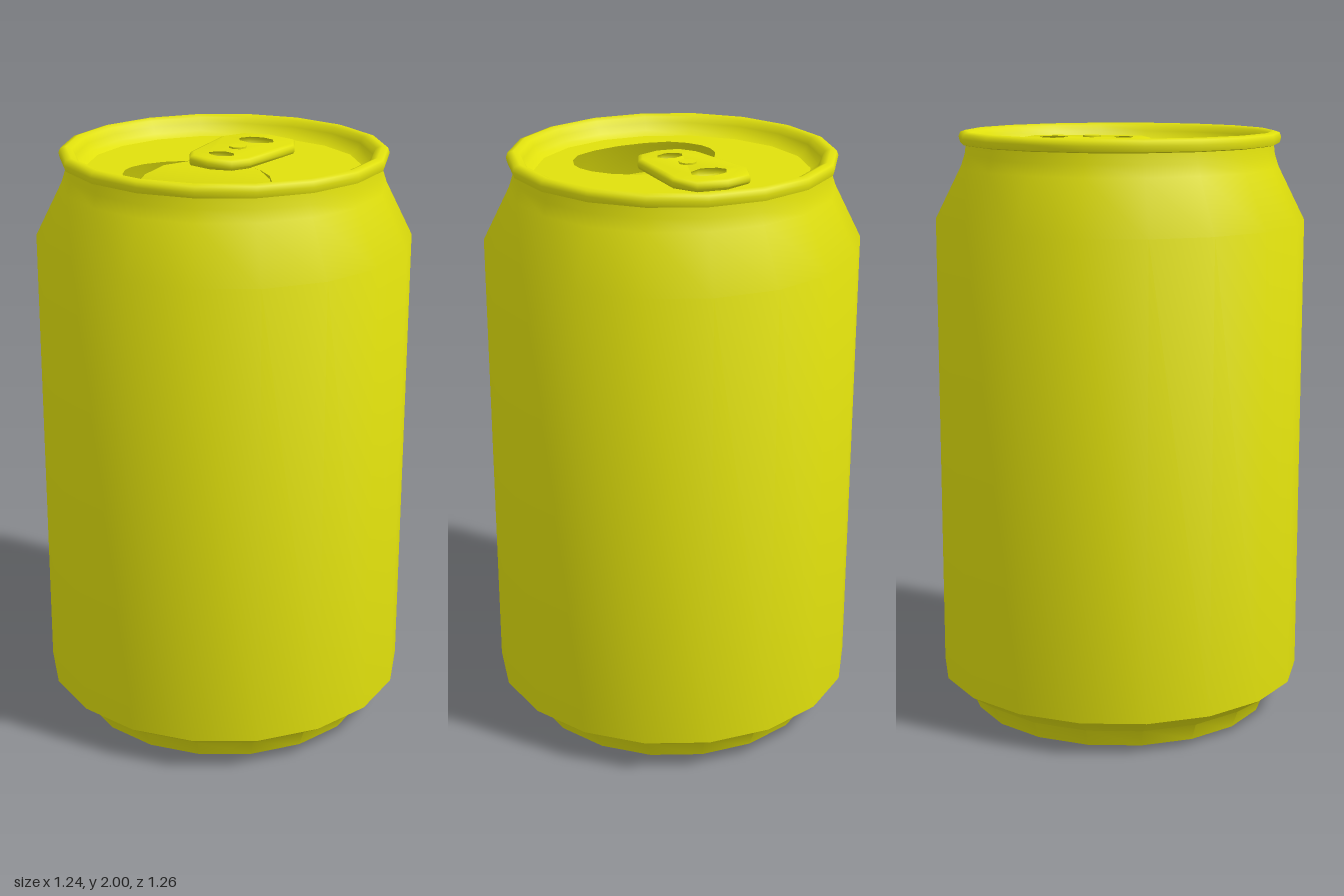
import * as THREE from 'three';
import { toCreasedNormals } from 'three/addons/utils/BufferGeometryUtils.js';

const SIDES = 18;
const LID_Y = 1.935;
const LID_R = 0.455;

// half outline of the mouth: [half width, z], back to front
const MOUTH = [
  [0.07, -0.02], [0.13, -0.005], [0.2, 0.055], [0.24, 0.115], [0.254, 0.17], [0.25, 0.215],
  [0.225, 0.27], [0.18, 0.318], [0.1, 0.345], [0.01, 0.355],
];

export function createModel() {
  const model = new THREE.Group();
  const yellow = new THREE.MeshStandardMaterial({ color: 0xe0e00c, side: THREE.DoubleSide });

  const add = (name, geometry) => {
    const mesh = new THREE.Mesh(geometry, yellow);
    mesh.name = name;
    model.add(mesh);
    return mesh;
  };
  const lathe = (points, crease = 0.6) => toCreasedNormals(
    new THREE.LatheGeometry(points.map(([r, y]) => new THREE.Vector2(r, y)), SIDES), crease);
  // plan coordinates (x, z) mirrored into a closed outline
  const mirrored = (half) => [
    ...half.map(([x, z]) => new THREE.Vector2(x, -z)),
    ...half.filter(([x]) => x > 0).reverse().map(([x, z]) => new THREE.Vector2(-x, -z)),
  ];

  // hollow underside
  add('baseDome', lathe([[0, 0.16], [0.14, 0.15], [0.27, 0.12], [0.38, 0.07], [0.475, 0]]));

  // foot, straight wall, shoulder and neck
  add('body', lathe([
    [0.475, 0], [0.515, 0], [0.54, 0.06], [0.628, 0.12], [0.628, 1.7],
    [0.538, 1.88], [0.525, 1.92], [0.52, 1.96],
  ]));

  // rolled rim and the inner slope down to the lid
  add('rim', lathe([
    [0.52, 1.955], [0.54, 1.959], [0.545, 1.978], [0.539, 1.994], [0.52, 2],
    [0.5, 1.992], [0.49, 1.972], [0.478, 1.95], [LID_R, LID_Y],
  ], 1.0));

  // lid with the open mouth
  const circle = Array.from({ length: SIDES }, (_, i) => {
    const a = (i / SIDES) * Math.PI * 2;
    return new THREE.Vector2(Math.sin(a) * LID_R, Math.cos(a) * LID_R);
  });
  const lidShape = new THREE.Shape(circle);
  lidShape.holes.push(new THREE.Path(mirrored(MOUTH)));
  add('lid', new THREE.ShapeGeometry(lidShape).rotateX(-Math.PI / 2)).position.y = LID_Y;

  // mouth flap, curled down into the can from its back edge
  const flap = new THREE.PlaneGeometry(2, 1, 2, MOUTH.length - 1);
  const pos = flap.attributes.position;
  const bend = 0.25;
  for (let i = 0; i < pos.count; i++) {
    const [halfWidth, z] = MOUTH[Math.floor(i / 3)];
    const angle = (z - MOUTH[0][1]) / bend;
    pos.setXYZ(i, pos.getX(i) * halfWidth, -bend * (1 - Math.cos(angle)), MOUTH[0][1] + bend * Math.sin(angle));
  }
  flap.computeVertexNormals();
  add('mouthFlap', flap).position.y = LID_Y;

  // pull tab with a finger hole and a small front hole
  const tabShape = new THREE.Shape(mirrored([
    [0, -0.335], [0.1, -0.31], [0.142, -0.23], [0.135, -0.16], [0.115, 0.03], [0.08, 0.09], [0, 0.11],
  ]));
  tabShape.holes.push(
    new THREE.Path(mirrored([[0, -0.285], [0.055, -0.27], [0.085, -0.222], [0.06, -0.18], [0, -0.157]])),
    new THREE.Path(mirrored([[0, -0.035], [0.045, -0.02], [0.066, 0.018], [0.045, 0.05], [0, 0.066]])),
  );
  const tab = new THREE.ExtrudeGeometry(tabShape, {
    depth: 0.012, bevelThickness: 0.012, bevelSize: 0.016, bevelOffset: -0.016, bevelSegments: 2,
  }).rotateX(-Math.PI / 2);
  add('pullTab', toCreasedNormals(tab, 1.0)).position.y = LID_Y + 0.018;

  // rivet holding the tab
  add('rivet', new THREE.CylinderGeometry(0.03, 0.03, 0.05, 8)).position.set(0, LID_Y + 0.023, -0.093);

  return model;
}
